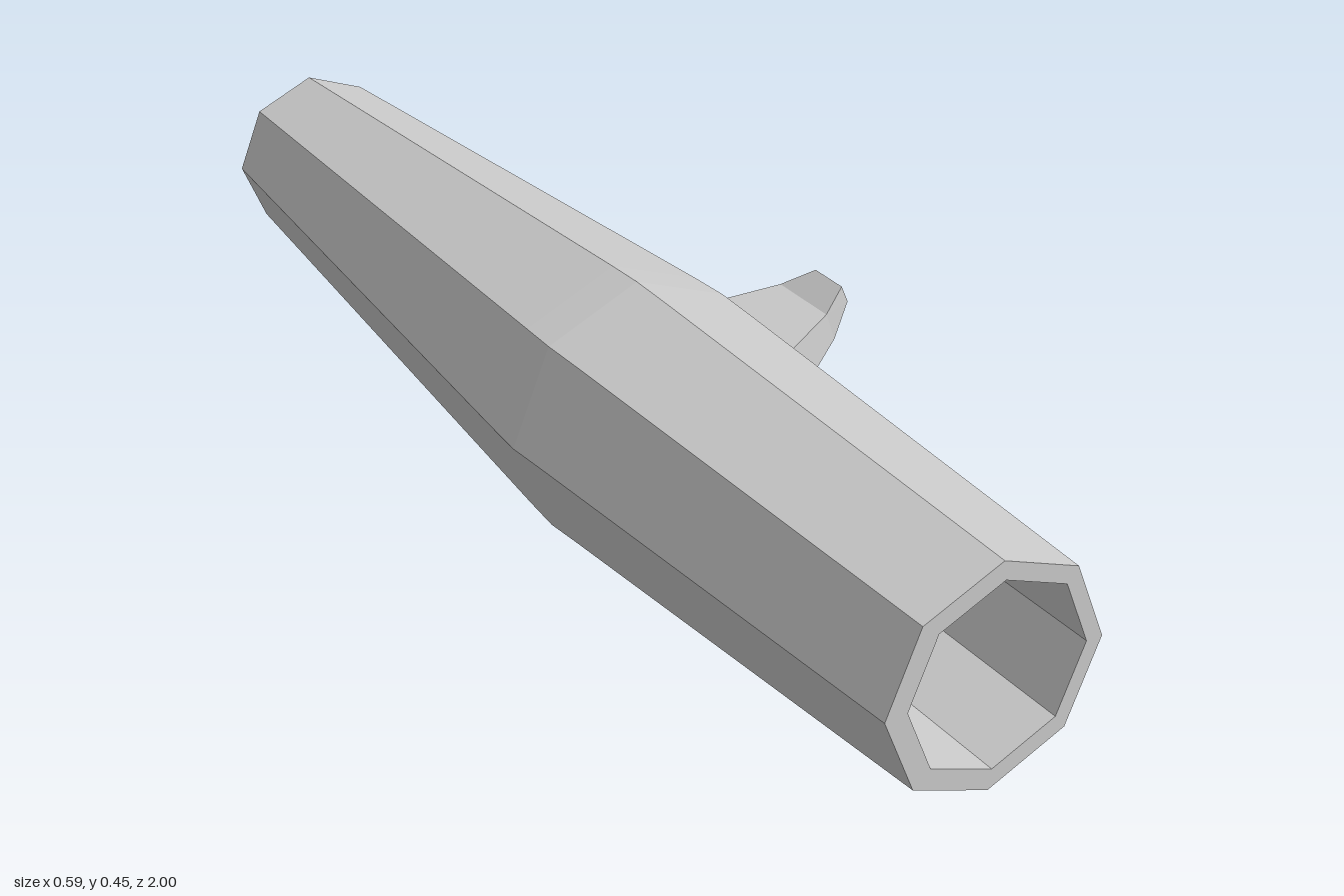
import * as THREE from 'three';

const material = new THREE.MeshStandardMaterial({ color: 0xcccccc, flatShading: true });

// Skins a list of equal-sized rings of [x, y, z] points and closes both ends.
function loft(name, rings) {
  const n = rings[0].length;
  const index = [];
  for (let i = 0; i < rings.length - 1; i++) {
    for (let j = 0; j < n; j++) {
      const a = i * n + j, b = i * n + (j + 1) % n;
      index.push(a, b, b + n, a, b + n, a + n);
    }
  }
  const last = (rings.length - 1) * n;
  for (let j = 1; j < n - 1; j++) {
    index.push(0, j + 1, j);
    index.push(last, last + j, last + j + 1);
  }
  const geometry = new THREE.BufferGeometry();
  geometry.setAttribute('position', new THREE.Float32BufferAttribute(rings.flat(2), 3));
  geometry.setIndex(index);
  const flat = geometry.toNonIndexed();
  flat.computeVertexNormals();
  const mesh = new THREE.Mesh(flat, material);
  mesh.name = name;
  return mesh;
}

// Octagon facing +z, with corners on the axes.
function octagon([z, radius, x, y]) {
  return Array.from({ length: 8 }, (_, i) => {
    const a = i * Math.PI / 4;
    return [x + radius * Math.cos(a), y + radius * Math.sin(a), z];
  });
}

// Four-sided branch section, leaning from its top edge to its bottom edge.
function branchSection(xTop, yTop, xBottom, yBottom, zBack, zFront) {
  return [[xTop, yTop, zBack], [xTop, yTop, zFront], [xBottom, yBottom, zFront], [xBottom, yBottom, zBack]];
}

export function createModel() {
  const group = new THREE.Group();
  group.name = 'hollowLog';

  // Trunk: back hollow, back rim, swollen bark, front rim, front hollow [z, radius, x, y]
  group.add(loft('trunk', [
    [-0.4, 0.12, -0.055, 0.231],
    [-1, 0.12, -0.055, 0.231],
    [-1, 0.147, -0.055, 0.231],
    [0.06, 0.2205, -0.07, 0.226],
    [0.13, 0.2245, -0.071, 0.2255],
    [0.2, 0.2215, -0.07, 0.226],
    [1, 0.187, -0.063, 0.228],
    [1, 0.154, -0.058, 0.229],
    [0.4, 0.154, -0.058, 0.229],
  ].map(octagon)));

  // Branch stub: rooted inside the bark, tapering and turning up at the tip
  group.add(loft('branchStub', [
    branchSection(0.09, 0.3, 0.11, 0.225, 0.025, 0.245),
    branchSection(0.125, 0.309, 0.156, 0.225, 0.025, 0.245),
    branchSection(0.245, 0.331, 0.263, 0.282, 0.07, 0.195),
    branchSection(0.285, 0.363, 0.298, 0.333, 0.11, 0.18),
  ]));

  // Low bark ridge running back from the branch
  const ridgeSection = (z, xLow, xHigh) =>
    [[0.07, 0.228, z], [xLow, 0.228, z], [xHigh, 0.265, z], [0.07, 0.267, z]];
  group.add(loft('barkRidge', [
    ridgeSection(-0.48, 0.121, 0.115),
    ridgeSection(0.05, 0.15, 0.139),
  ]));

  return group;
}
